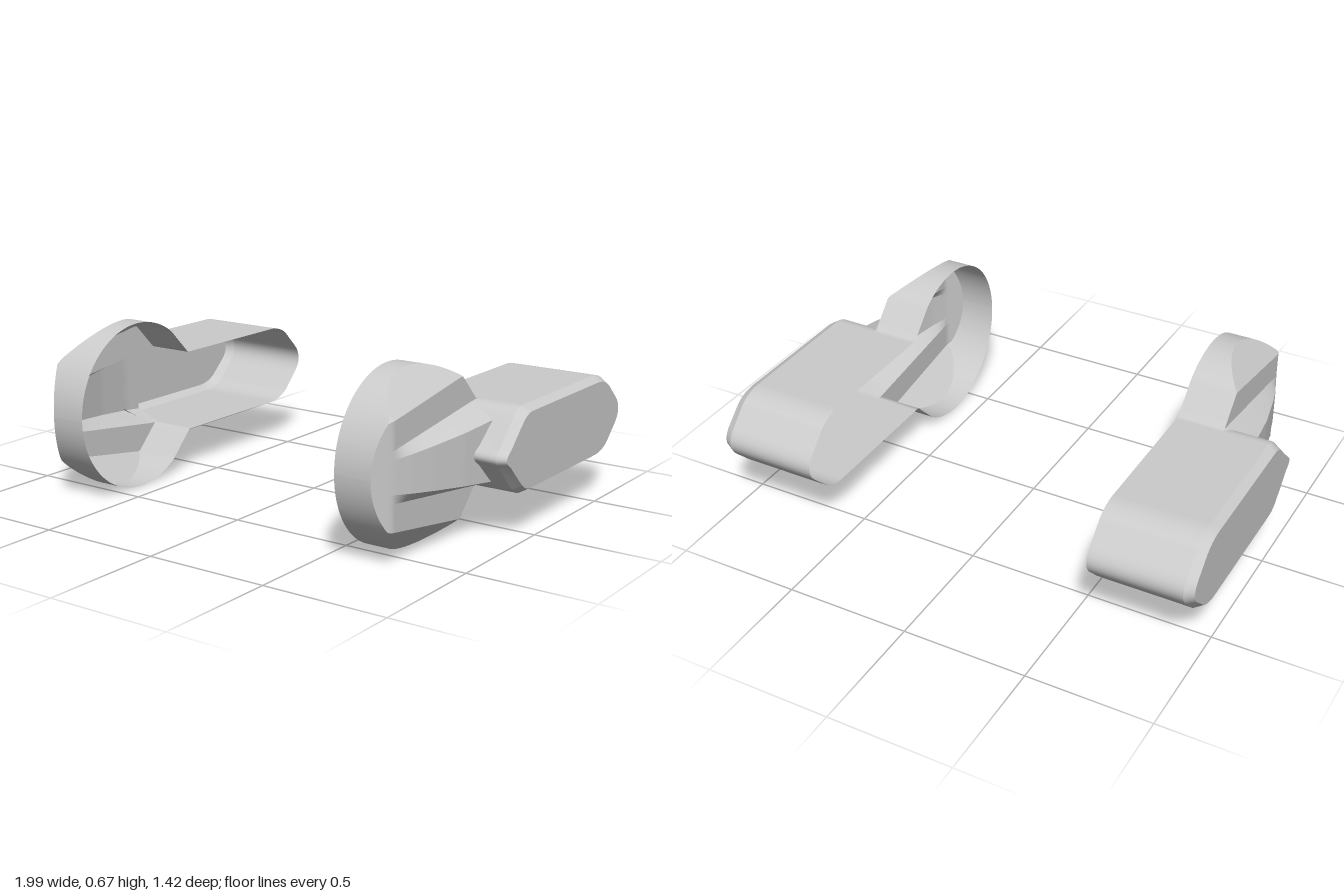
import * as THREE from 'three';

const CY = 0.337, R = 0.336, DZ = 0.373; // mid height, disc radius, disc centre z
const INNER = 0.59, PLATE = 0.78;
const lerp = THREE.MathUtils.lerp;
const material = new THREE.MeshStandardMaterial({ color: 0xcccccc, side: THREE.DoubleSide });

// Smooth surface between successive cross-sections of equal length
function loft(name, rows) {
  const n = rows[0].length, pos = rows.flat(2), idx = [];
  for (let i = 0; i < rows.length - 1; i++) {
    for (let j = 0; j < n - 1; j++) {
      const a = i * n + j, b = a + n;
      idx.push(a, b, a + 1, b, b + 1, a + 1);
    }
  }
  const g = new THREE.BufferGeometry();
  g.setAttribute('position', new THREE.Float32BufferAttribute(pos, 3));
  g.setIndex(idx);
  g.computeVertexNormals();
  const mesh = new THREE.Mesh(g, material);
  mesh.name = name;
  return mesh;
}

// Height of the central fin along z
const FIN = [[0.05, 0.89], [0.13, 0.89], [0.3, 0.867], [0.45, 0.834], [0.55, 0.808], [0.63, 0.78], [0.709, 0.74]];
function finX(z) {
  for (let i = 1; i < FIN.length; i++) {
    const [z0, x0] = FIN[i - 1], [z1, x1] = FIN[i];
    if (z <= z1) return lerp(x0, x1, Math.max(0, (z - z0) / (z1 - z0)));
  }
  return 0.74;
}

// Half height of the disc with its neck
function halfHeight(z) {
  if (z >= 0.17) return Math.sqrt(Math.max(0, R * R - (z - DZ) ** 2));
  return Math.max(0.165, lerp(0.165, 0.267, (z - 0.07) / 0.1));
}

// Break lines across the disc at a given z, as [distance from middle, x]
function section(z) {
  const h = halfHeight(z), t = (0.65 - z) / 0.55;
  const plate = Math.min(PLATE, finX(z));
  const top = Math.min(h, lerp(0.06, 0.12, t));
  const base = Math.min(h, lerp(0.092, 0.163, t));
  const chord = Math.max(base, Math.min(h, 0.2 + (0.62 - z) * 0.156));
  return [[0, finX(z)], [top, finX(z)], [base, plate], [chord, plate],
    [h, plate - (h - chord)], [h, INNER]];
}

function surfaceX(z, d) {
  const s = section(z);
  for (let i = 1; i < 4; i++) {
    if (d <= s[i][0]) return lerp(s[i - 1][1], s[i][1], (d - s[i - 1][0]) / (s[i][0] - s[i - 1][0] || 1));
  }
  return PLATE;
}

function buildDisc() {
  const disc = new THREE.Group();
  disc.name = 'discCover';
  const zs = [];
  const end = Math.acos((0.17 - DZ) / R);
  for (let i = 0; i <= 40; i++) zs.push(DZ + R * Math.cos(end * i / 40));
  zs.push(0.13, 0.1, 0.07, 0.05);
  const names = ['finTop', 'finSide', 'discFace', 'discChamfer', 'discRim'];
  for (const side of [1, -1]) {
    names.forEach((name, k) => {
      disc.add(loft(name, zs.map((z) => {
        const s = section(z);
        const row = [s[k], s[k + 1]].map(([d, x]) => [x, CY + side * d, z]);
        return side > 0 ? row : row.reverse();
      })));
    });
  }
  return disc;
}

function buildPod() {
  const pod = new THREE.Group();
  pod.name = 'pod';
  // Side outline: long flats, tapered rounded tail and pointed nose
  const s = new THREE.Shape();
  s.moveTo(0.05, 0.165);
  s.lineTo(-0.5, 0.165);
  s.quadraticCurveTo(-0.565, 0.165, -0.61, 0.13);
  s.lineTo(-0.675, 0.065);
  s.quadraticCurveTo(-0.743, 0, -0.675, -0.065);
  s.lineTo(-0.61, -0.13);
  s.quadraticCurveTo(-0.565, -0.165, -0.5, -0.165);
  s.lineTo(0.05, -0.165);
  s.quadraticCurveTo(0.09, -0.165, 0.12, -0.135);
  s.lineTo(0.15, -0.105);
  s.lineTo(0.215, -0.035);
  s.quadraticCurveTo(0.273, 0, 0.215, 0.035);
  s.lineTo(0.15, 0.105);
  s.lineTo(0.12, 0.135);
  s.quadraticCurveTo(0.09, 0.165, 0.05, 0.165);
  const outline = s.getPoints(10);

  const inner = outline.map((p) => [p.x <= 0.052 ? INNER : surfaceX(p.x, Math.abs(p.y)), CY + p.y, p.x]);
  const outer = outline.map((p) => [0.962, CY + p.y, p.x]);
  const face = outline.map((p) => [0.997, CY + p.y * 0.88, -0.232 + (p.x + 0.232) * 0.957]);
  pod.add(loft('podWall', [inner, outer]), loft('podBevel', [outer, face]));

  // Flat outer face
  const cap = new THREE.ShapeGeometry(new THREE.Shape(face.map(([, y, z]) => new THREE.Vector2(-z, y))));
  cap.rotateY(Math.PI / 2);
  cap.translate(0.997, 0, 0);
  const mesh = new THREE.Mesh(cap, material);
  mesh.name = 'podFace';
  pod.add(mesh);
  return pod;
}

export function createModel() {
  const model = new THREE.Group();
  model.name = 'pairedCovers';
  for (const side of [1, -1]) {
    const cover = new THREE.Group();
    cover.name = side > 0 ? 'leftCover' : 'rightCover';
    cover.add(buildDisc(), buildPod());
    cover.scale.x = side;
    model.add(cover);
  }
  return model;
}
